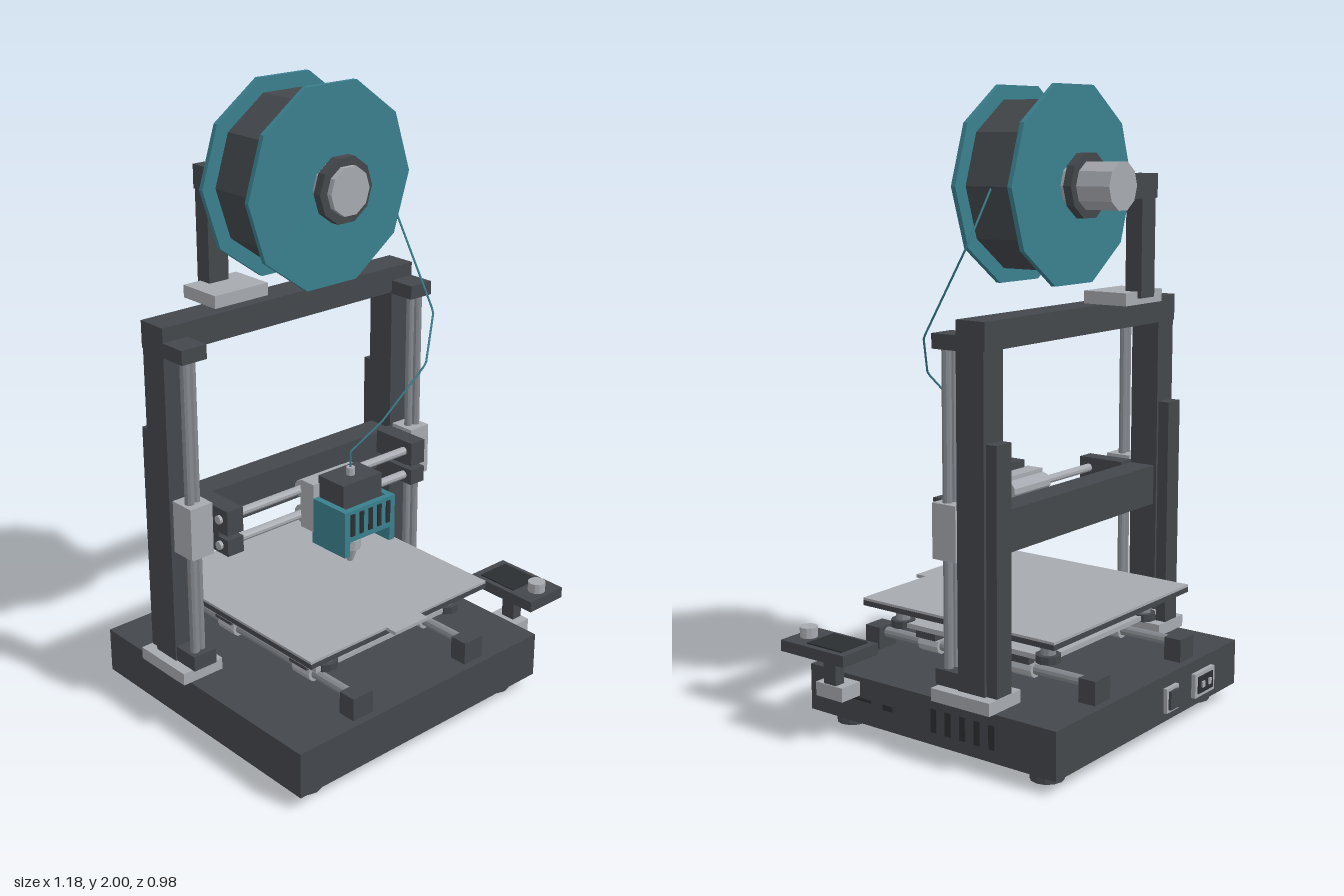
import * as THREE from 'three';

const mat = (name, color) => {
  const m = new THREE.MeshStandardMaterial({ color });
  m.name = name;
  return m;
};

export function createModel() {
  const dark = mat('charcoal', 0x43474b);
  const black = mat('black', 0x2b2e31);
  const light = mat('light grey', 0xa6a9af);
  const steel = mat('steel', 0x85898e);
  const teal = mat('teal', 0x3a7f8e);

  const root = new THREE.Group();
  root.name = 'desktopPrinter';
  const group = (name) => {
    const g = new THREE.Group();
    g.name = name;
    root.add(g);
    return g;
  };
  const add = (g, name, geo, m) => {
    const mesh = new THREE.Mesh(geo, m);
    mesh.name = name;
    g.add(mesh);
    return mesh;
  };
  // Box given by its limits on each axis
  const box = (g, name, m, x0, x1, y0, y1, z0, z1) => {
    const geo = new THREE.BoxGeometry(x1 - x0, y1 - y0, z1 - z0);
    geo.translate((x0 + x1) / 2, (y0 + y1) / 2, (z0 + z1) / 2);
    return add(g, name, geo, m);
  };
  // Faceted cylinder along an axis, a vertex of each end lying on +x for y and z axes
  const cyl = (g, name, m, axis, r, len, x, y, z, sides = 10, rBottom = r) => {
    let geo = new THREE.CylinderGeometry(r, rBottom, len, sides, 1, false, Math.PI / 2);
    if (axis === 'x') geo.rotateZ(Math.PI / 2);
    if (axis === 'z') geo.rotateX(Math.PI / 2);
    geo.translate(x, y, z);
    geo = geo.toNonIndexed();
    geo.computeVertexNormals();
    return add(g, name, geo, m);
  };
  const C = -0.06; // middle of the machine

  // Base with feet, floor strips, side vents and rear sockets
  const base = group('base');
  box(base, 'baseBox', dark, -0.57, 0.45, 0.045, 0.195, -0.47, 0.49);
  for (const x of [-0.475, 0.355])
    for (const z of [0.4, -0.37]) cyl(base, 'foot', dark, 'y', 0.052, 0.045, x, 0.0225, z, 12);
  for (let i = 0; i < 6; i++) {
    const x = -0.478 + i * 0.16;
    box(base, 'floorStrip', light, x - 0.028, x + 0.028, 0.036, 0.046, -0.25, 0.04);
  }
  for (let i = 0; i < 5; i++) {
    const z = -0.24 + i * 0.055;
    box(base, 'sideVent', black, 0.449, 0.453, 0.085, 0.16, z - 0.011, z + 0.011);
  }
  box(base, 'cardSlot', black, 0.448, 0.454, 0.12, 0.13, 0.23, 0.31);
  box(base, 'sidePort', black, 0.44, 0.462, 0.115, 0.133, 0.138, 0.175);
  box(base, 'socketFrame', light, -0.41, -0.29, 0.075, 0.155, -0.485, -0.469);
  box(base, 'socketInset', black, -0.395, -0.305, 0.087, 0.143, -0.489, -0.484);
  for (const x of [-0.37, -0.33]) box(base, 'socketPin', light, x - 0.008, x + 0.008, 0.105, 0.125, -0.494, -0.488);
  box(base, 'switchFrame', light, -0.192, -0.122, 0.075, 0.155, -0.483, -0.469);
  box(base, 'switchRocker', dark, -0.182, -0.132, 0.085, 0.145, -0.492, -0.482);

  // Upright frame, mirrored about the middle of the machine
  const frame = group('frame');
  box(frame, 'topBar', dark, -0.565, 0.445, 1.25, 1.335, -0.215, -0.11);
  for (const s of [-1, 1]) {
    const sx = (name, m, a, b, y0, y1, z0, z1) => {
      const p = C + s * a, q = C + s * b;
      box(frame, name, m, Math.min(p, q), Math.max(p, q), y0, y1, z0, z1);
    };
    sx('post', dark, 0.415, 0.505, 0.195, 1.25, -0.21, -0.11);
    sx('rearCableChannel', dark, 0.425, 0.495, 0.195, 0.985, -0.248, -0.21);
    sx('postFoot', light, 0.385, 0.535, 0.195, 0.235, -0.25, -0.03);
    sx('lowerRodBlock', dark, 0.415, 0.5, 0.235, 0.285, -0.11, -0.02);
    sx('upperRodBlock', dark, 0.415, 0.505, 1.245, 1.29, -0.11, -0.02);
    cyl(frame, 'liftRod', steel, 'y', 0.015, 0.97, C + s * 0.474, 0.765, -0.05);
    cyl(frame, 'liftScrew', steel, 'y', 0.013, 0.97, C + s * 0.447, 0.765, -0.055);
    sx('liftCarriage', light, 0.418, 0.5, 0.62, 0.79, -0.1, -0.012);
    // Ends of the cross gantry
    sx('gantryEnd', dark, 0.375, 0.415, 0.64, 0.765, -0.11, 0.01);
    sx('upperRodClamp', dark, 0.355, 0.415, 0.7, 0.78, -0.11, 0.055);
    sx('lowerRodClamp', dark, 0.355, 0.415, 0.632, 0.685, -0.11, 0.055);
  }
  box(frame, 'crossBeam', dark, -0.475, 0.355, 0.64, 0.77, -0.2, -0.11);
  for (const y of [0.745, 0.66]) cyl(frame, 'crossRod', light, 'x', 0.014, 0.85, C, y, 0.02);

  // Heated bed on springs, sliding on two rods
  const bed = group('bed');
  box(bed, 'bedPlate', dark, -0.435, 0.315, 0.374, 0.391, -0.365, 0.385);
  box(bed, 'printSheet', light, -0.435, 0.315, 0.391, 0.399, -0.365, 0.385);
  box(bed, 'sheetTab', light, -0.13, 0.01, 0.388, 0.399, 0.385, 0.425);
  box(bed, 'bedCarrier', light, -0.36, 0.24, 0.302, 0.318, -0.29, 0.32);
  for (const x of [-0.305, 0.22])
    for (const z of [0.3, -0.275]) {
      cyl(bed, 'bedSpring', steel, 'y', 0.024, 0.06, x, 0.346, z);
      cyl(bed, 'levelKnob', dark, 'y', 0.04, 0.024, x, 0.31, z);
    }
  for (const x of [-0.3, 0.18]) {
    cyl(bed, 'slideRod', steel, 'z', 0.017, 0.84, x, 0.247, 0.01);
    for (const z of [0.435, -0.415])
      box(bed, 'rodHolder', dark, x - 0.04, x + 0.04, 0.195, 0.27, z - 0.03, z + 0.03);
    for (const z of [0.21, -0.16]) {
      cyl(bed, 'slideBearing', light, 'z', 0.028, 0.08, x, 0.247, z);
      box(bed, 'bearingMount', dark, x - 0.038, x + 0.038, 0.27, 0.304, z - 0.04, z + 0.04);
    }
  }

  // Print head with ribbed cooling shroud
  const head = group('printHead');
  box(head, 'headCarriage', light, -0.165, 0.045, 0.625, 0.785, 0.03, 0.09);
  for (const y of [0.745, 0.66])
    cyl(head, 'headBearing', light, 'x', 0.03, 0.19, C, y, 0.02);
  box(head, 'feedMotor', dark, -0.14, 0.02, 0.64, 0.81, 0.085, 0.2);
  for (const x of [-0.165, 0.023])
    box(head, 'shroudSide', teal, x, x + 0.022, 0.588, 0.74, 0.085, 0.235);
  box(head, 'shroudFront', teal, -0.165, 0.045, 0.635, 0.74, 0.215, 0.235);
  for (let i = 0; i < 5; i++) {
    const x = C + (i - 2) * 0.037;
    box(head, 'shroudSlot', black, x - 0.008, x + 0.008, 0.655, 0.728, 0.234, 0.239);
  }
  box(head, 'heatBlock', light, -0.1, -0.02, 0.605, 0.64, 0.105, 0.185);
  cyl(head, 'heatBreak', light, 'y', 0.018, 0.05, C, 0.595, 0.145);
  cyl(head, 'nozzleCollar', light, 'y', 0.034, 0.032, C, 0.576, 0.145);
  cyl(head, 'nozzleTip', light, 'y', 0.026, 0.045, C, 0.537, 0.145, 10, 0.01);
  cyl(head, 'feedInlet', light, 'y', 0.014, 0.026, C, 0.822, 0.145);

  // Spool on its axle
  const spool = group('spool');
  cyl(spool, 'axle', light, 'z', 0.075, 0.48, C, 1.7, -0.1);
  cyl(spool, 'woundFilament', dark, 'z', 0.268, 0.19, C, 1.7, -0.053);
  for (const z of [0.052, -0.157]) cyl(spool, 'flange', teal, 'z', 0.315, 0.016, C, 1.7, z);
  for (const z of [0.108, -0.208]) cyl(spool, 'retainingRing', dark, 'z', 0.102, 0.028, C, 1.7, z);

  // Bracket carrying the axle
  const holder = group('spoolHolder');
  box(holder, 'holderPlate', light, -0.34, -0.135, 1.335, 1.375, -0.305, -0.15);
  box(holder, 'holderPost', dark, -0.275, -0.2, 1.355, 1.735, -0.318, -0.26);
  box(holder, 'holderArm', dark, -0.275, -0.115, 1.66, 1.735, -0.325, -0.258);

  // Filament strand from spool to print head
  const strand = [
    [C, 0.81, 0.145], [C, 0.885, 0.145], [0.04, 0.97, 0.18], [0.2, 1.125, 0.205],
    [0.31, 1.25, 0.125], [0.31, 1.54, -0.05], [0.2, 1.7, -0.05],
  ].map((p) => new THREE.Vector3(...p));
  const path = new THREE.CurvePath();
  for (let i = 1; i < strand.length; i++) path.add(new THREE.LineCurve3(strand[i - 1], strand[i]));
  add(root, 'filamentStrand', new THREE.TubeGeometry(path, 60, 0.0035, 5), teal);

  // Control panel on its bracket
  const panel = group('controlPanel');
  box(panel, 'panelBracket', light, 0.45, 0.53, 0.135, 0.18, 0.28, 0.39);
  box(panel, 'panelStem', dark, 0.488, 0.526, 0.18, 0.28, 0.31, 0.36);
  box(panel, 'panelBody', dark, 0.435, 0.59, 0.277, 0.313, 0.215, 0.478);
  box(panel, 'screen', black, 0.452, 0.57, 0.312, 0.317, 0.242, 0.385);
  cyl(panel, 'dial', light, 'y', 0.029, 0.034, 0.513, 0.329, 0.433, 12);

  return root;
}
